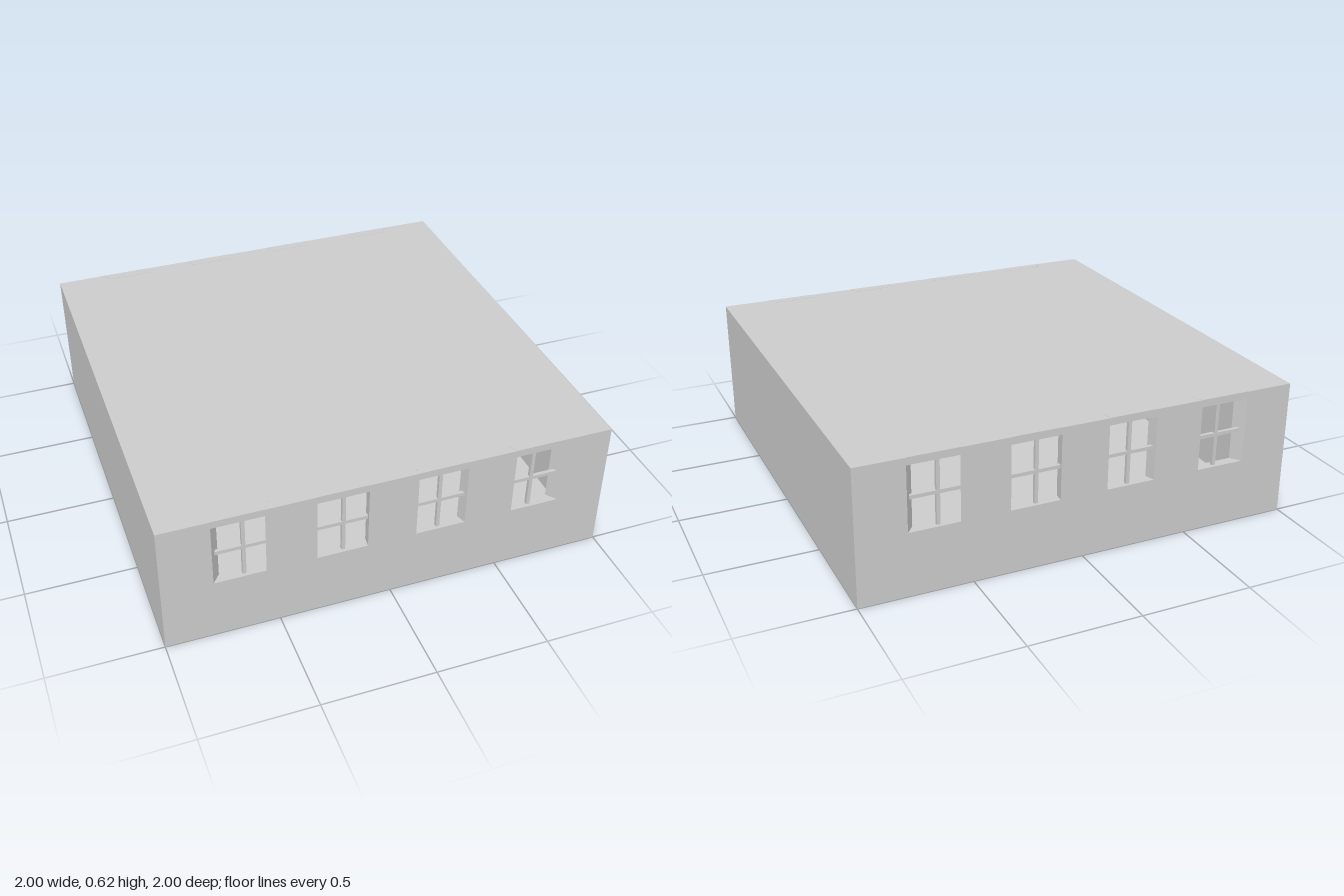
import * as THREE from 'three';

const material = new THREE.MeshStandardMaterial({ color: 0xcccccc, flatShading: true });
const HEIGHT = 0.618, ROOF = 0.018, FLOOR = 0.01;
const THICK = 0.045;
const SILL = 0.29, HEAD = 0.585, WIDTH = 0.225;
const windowCentres = [-0.667, -0.222, 0.222, 0.667];

function add(parent, name, geometry, x = 0, y = 0, z = 0) {
  const mesh = new THREE.Mesh(geometry, material);
  mesh.name = name;
  mesh.position.set(x, y, z);
  parent.add(mesh);
  return mesh;
}

function rectangle(Type, x0, y0, x1, y1) {
  return new Type([[x0, y0], [x1, y0], [x1, y1], [x0, y1]].map(p => new THREE.Vector2(...p)));
}

// Wall whose inner face is scaled toward the middle, giving mitred ends and splayed reveals
function wallGeometry(centres) {
  const shape = rectangle(THREE.Shape, -1, 0, 1, HEIGHT - ROOF);
  for (const c of centres) {
    shape.holes.push(rectangle(THREE.Path, c - WIDTH / 2, SILL, c + WIDTH / 2, HEAD));
  }
  const geometry = new THREE.ExtrudeGeometry(shape, { depth: THICK, bevelEnabled: false });
  geometry.translate(0, 0, 1 - THICK);
  const p = geometry.attributes.position;
  for (let i = 0; i < p.count; i++) p.setX(i, p.getX(i) * p.getZ(i));
  geometry.computeVertexNormals();
  return geometry;
}

// Thin cap on the roof above a window, following the splay of the reveal
function headCap(c) {
  const k = 1 - THICK, a = c - WIDTH / 2, b = c + WIDTH / 2;
  const shape = new THREE.Shape([[a, -1], [b, -1], [b * k, -k], [a * k, -k]]
    .map(p => new THREE.Vector2(...p)));
  const geometry = new THREE.ExtrudeGeometry(shape, { depth: 0.001, bevelEnabled: false });
  return geometry.rotateX(-Math.PI / 2);
}

function windowedSide(name) {
  const side = new THREE.Group();
  side.name = name;
  add(side, 'windowWall', wallGeometry(windowCentres));
  const z = 1 - THICK / 2;
  for (const c of windowCentres) {
    // Glazing bars
    const top = HEIGHT - ROOF / 2;
    add(side, 'mullion', new THREE.BoxGeometry(0.016, top - SILL, 0.016),
      c * 0.965, (top + SILL) / 2, z);
    add(side, 'crossbar', new THREE.BoxGeometry(WIDTH, 0.016, 0.016), c * z, 0.436, z);
    add(side, 'headCap', headCap(c), 0, HEIGHT, 0);
  }
  return side;
}

export function createModel() {
  const room = new THREE.Group();
  room.name = 'room';

  // Front and back walls with windows
  const front = windowedSide('frontSide');
  const back = windowedSide('backSide');
  back.rotation.y = Math.PI;
  room.add(front, back);

  // Plain side walls
  for (const s of [1, -1]) {
    const wall = add(room, s > 0 ? 'leftWall' : 'rightWall', wallGeometry([]));
    wall.rotation.y = s * Math.PI / 2;
  }

  // Floor and roof
  const inner = 2 * (1 - THICK);
  add(room, 'floor', new THREE.BoxGeometry(inner, FLOOR, inner), 0, FLOOR / 2, 0);
  add(room, 'roof', new THREE.BoxGeometry(2, ROOF, 2), 0, HEIGHT - ROOF / 2, 0);
  return room;
}
